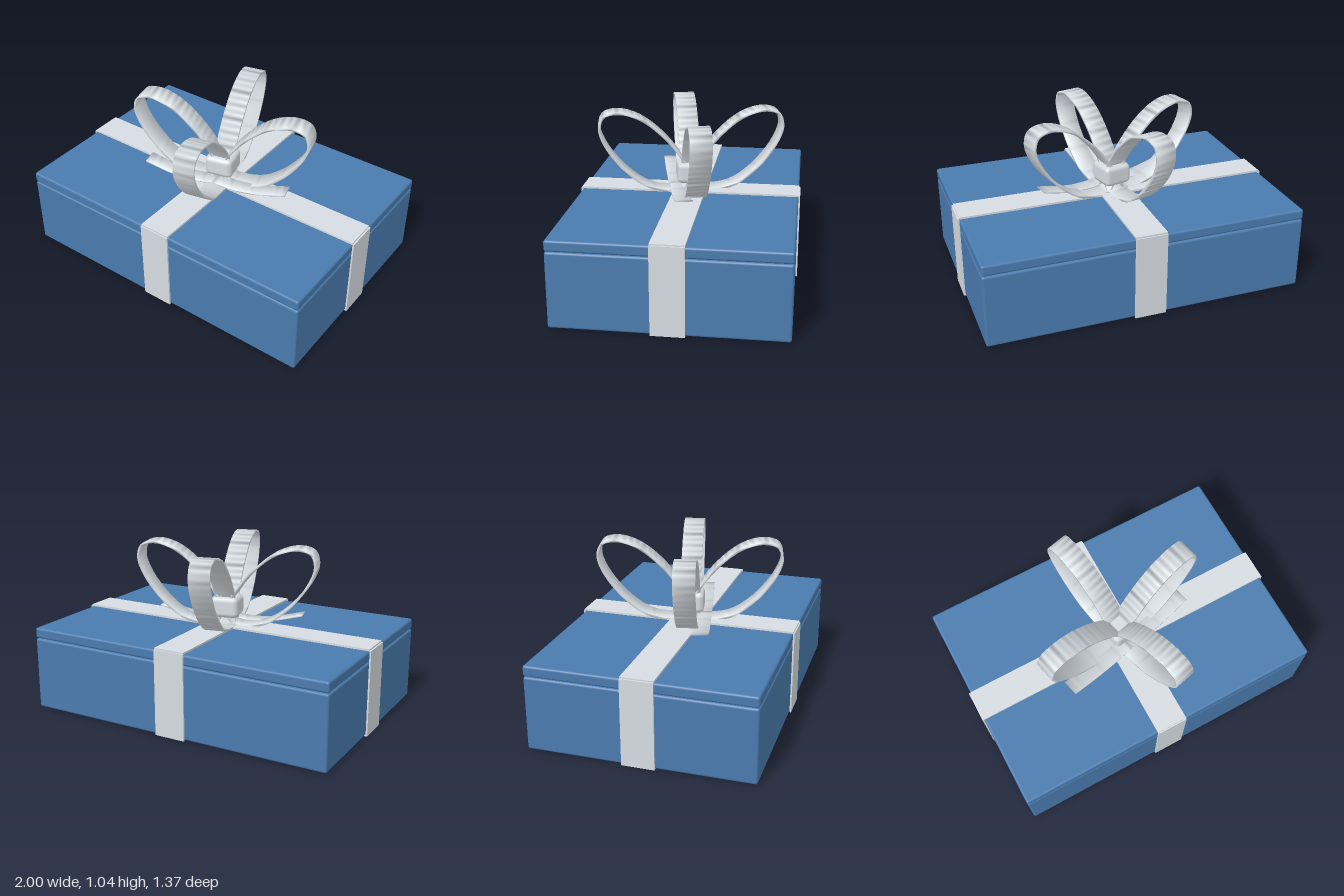
import * as THREE from 'three';
import { RoundedBoxGeometry } from 'three/addons/geometries/RoundedBoxGeometry.js';
import { toCreasedNormals } from 'three/addons/utils/BufferGeometryUtils.js';

const blue = new THREE.MeshStandardMaterial({ color: 0x4a7bae });
blue.name = 'blue card';
const silver = new THREE.MeshStandardMaterial({ color: 0xd6dce1 });
silver.name = 'silver ribbon';

const TILT = THREE.MathUtils.degToRad(13.2);

// Soft ribbon with thickness: a centre line in the XY plane, extruded across its width
function ribbonGeometry(points, closed, width, thickness, steps) {
  const curve = new THREE.CatmullRomCurve3(points.map(([x, y]) => new THREE.Vector3(x, y, 0)), closed);
  const outer = [], inner = [];
  for (let i = 0; i < (closed ? steps : steps + 1); i++) {
    const p = curve.getPointAt(i / steps);
    const t = curve.getTangentAt(i / steps);
    const nx = -t.y * thickness / 2, ny = t.x * thickness / 2;
    outer.push(new THREE.Vector2(p.x + nx, p.y + ny));
    inner.push(new THREE.Vector2(p.x - nx, p.y - ny));
  }
  inner.reverse();
  const shape = new THREE.Shape(closed ? outer : [...outer, ...inner]);
  if (closed) shape.holes.push(new THREE.Path(inner));
  const geometry = new THREE.ExtrudeGeometry(shape, { depth: width, bevelEnabled: false });
  geometry.translate(0, 0, -width / 2);
  // Smooth across the edges too, so the band looks gently rounded
  return toCreasedNormals(geometry, 2);
}

export function createModel() {
  const model = new THREE.Group();
  model.name = 'giftBox';

  function add(name, geometry, material, x = 0, y = 0, z = 0, turn = 0, parent = model) {
    const mesh = new THREE.Mesh(geometry, material);
    mesh.name = name;
    mesh.position.set(x, y, z);
    mesh.rotation.y = turn;
    parent.add(mesh);
  }

  // Box and lid
  add('boxBody', new RoundedBoxGeometry(1.978, 0.455, 1.354, 3, 0.014), blue, 0, 0.23, 0);
  add('lid', new RoundedBoxGeometry(1.978, 0.066, 1.354, 3, 0.014), blue, 0, 0.493, 0);

  // Wrapping ribbons: across the top, down all four sides, lengthwise underneath
  const W = 0.196;
  add('topRibbonLong', new THREE.BoxGeometry(1.98, 0.012, W), silver, 0, 0.533, 0);
  add('topRibbonCross', new THREE.BoxGeometry(W, 0.012, 1.36), silver, 0, 0.534, 0);
  add('bottomRibbon', new THREE.BoxGeometry(1.98, 0.006, W), silver, 0, 0.003, 0);
  for (const s of [-1, 1]) {
    const side = s > 0 ? 'left' : 'right', end = s > 0 ? 'front' : 'back';
    add(side + 'Ribbon', new THREE.BoxGeometry(0.01, 0.53, W), silver, s * 0.995, 0.265, 0);
    add(end + 'Ribbon', new THREE.BoxGeometry(W, 0.53, 0.01), silver, 0, 0.265, s * 0.682);
  }

  // Bow: four upright loops
  const bow = new THREE.Group();
  bow.name = 'bow';
  model.add(bow);
  const loop = ribbonGeometry([
    [0.02, 0.64], [0.07, 0.75], [0.2, 0.905], [0.33, 1.0], [0.45, 1.033], [0.54, 1.01], [0.565, 0.93],
    [0.52, 0.81], [0.4, 0.66], [0.27, 0.565], [0.15, 0.536], [0.05, 0.55]
  ], true, 0.13, 0.015, 72);
  for (let i = 0; i < 4; i++) {
    add('bowLoop' + (i + 1), loop, silver, 0, 0, 0, TILT + i * Math.PI / 2, bow);
  }

  // Two tails, lifting gently towards their ends
  const tail = ribbonGeometry([
    [0, 0.565], [0.1, 0.549], [0.22, 0.549], [0.34, 0.569], [0.465, 0.6]
  ], false, 0.1, 0.008, 20);
  add('tailLeft', tail, silver, 0.012, 0, 0.085, TILT, bow);
  add('tailRight', tail, silver, 0.012, 0, 0.085, TILT + Math.PI, bow);

  // Knot with chamfered edges, in the middle of the loops
  add('knot', new RoundedBoxGeometry(0.18, 0.13, 0.18, 1, 0.03), silver, 0, 0.645, 0, TILT, bow);

  return model;
}
